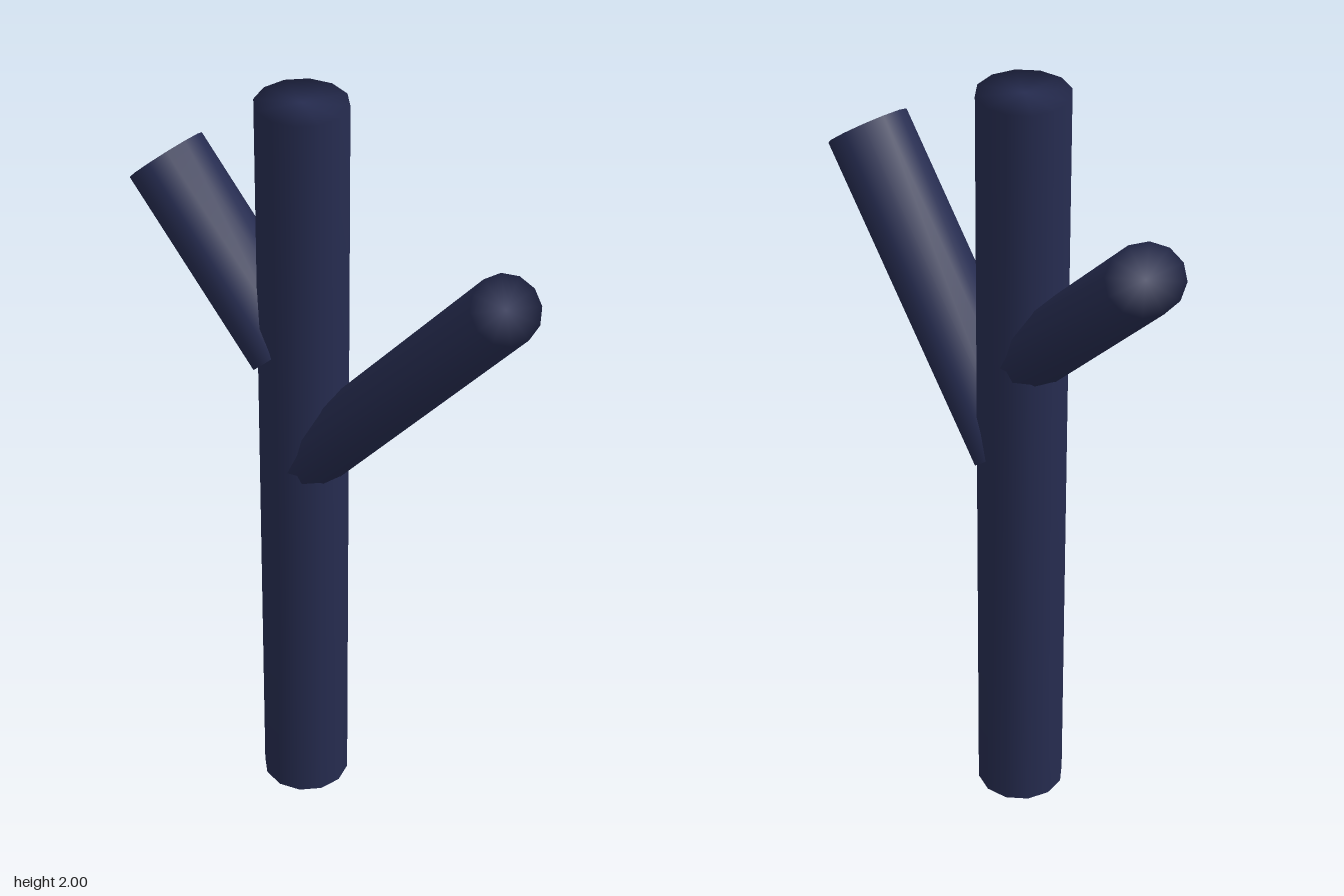
import * as THREE from 'three';
import { mergeVertices } from 'three/addons/utils/BufferGeometryUtils.js';

const material = new THREE.MeshStandardMaterial({ color: 0x262c50 });

// Capped 12-sided log from base to tip; rims share normals for soft shading
function log(name, base, tip, halfWidth, halfDepth) {
  const a = new THREE.Vector3(...base);
  const b = new THREE.Vector3(...tip);
  const d = b.clone().sub(a);
  let geometry = new THREE.CylinderGeometry(1, 1, d.length(), 12);
  geometry.scale(halfWidth, 1, halfDepth);
  geometry.deleteAttribute('normal');
  geometry.deleteAttribute('uv');
  geometry = mergeVertices(geometry);
  geometry.computeVertexNormals();

  const mesh = new THREE.Mesh(geometry, material);
  mesh.name = name;
  mesh.position.copy(a).add(b).multiplyScalar(0.5);
  // Lean sideways first, then pitch forwards or backwards
  mesh.rotation.z = -Math.asin(d.x / d.length());
  mesh.rotation.x = Math.atan2(d.z, d.y);
  return mesh;
}

export function createModel() {
  const group = new THREE.Group();
  group.name = 'branchedTrunk';
  group.add(
    log('trunk', [0, 0, -0.076], [0, 2, -0.076], 0.11, 0.11),
    // Flattened side branches, sunk into the trunk
    log('frontBranch', [0.007, 1.027, -0.053], [0.007, 1.677, 0.495], 0.109, 0.084),
    log('backBranch', [-0.01, 1.327, -0.112], [0, 1.712, -0.491], 0.11, 0.085),
  );
  return group;
}
